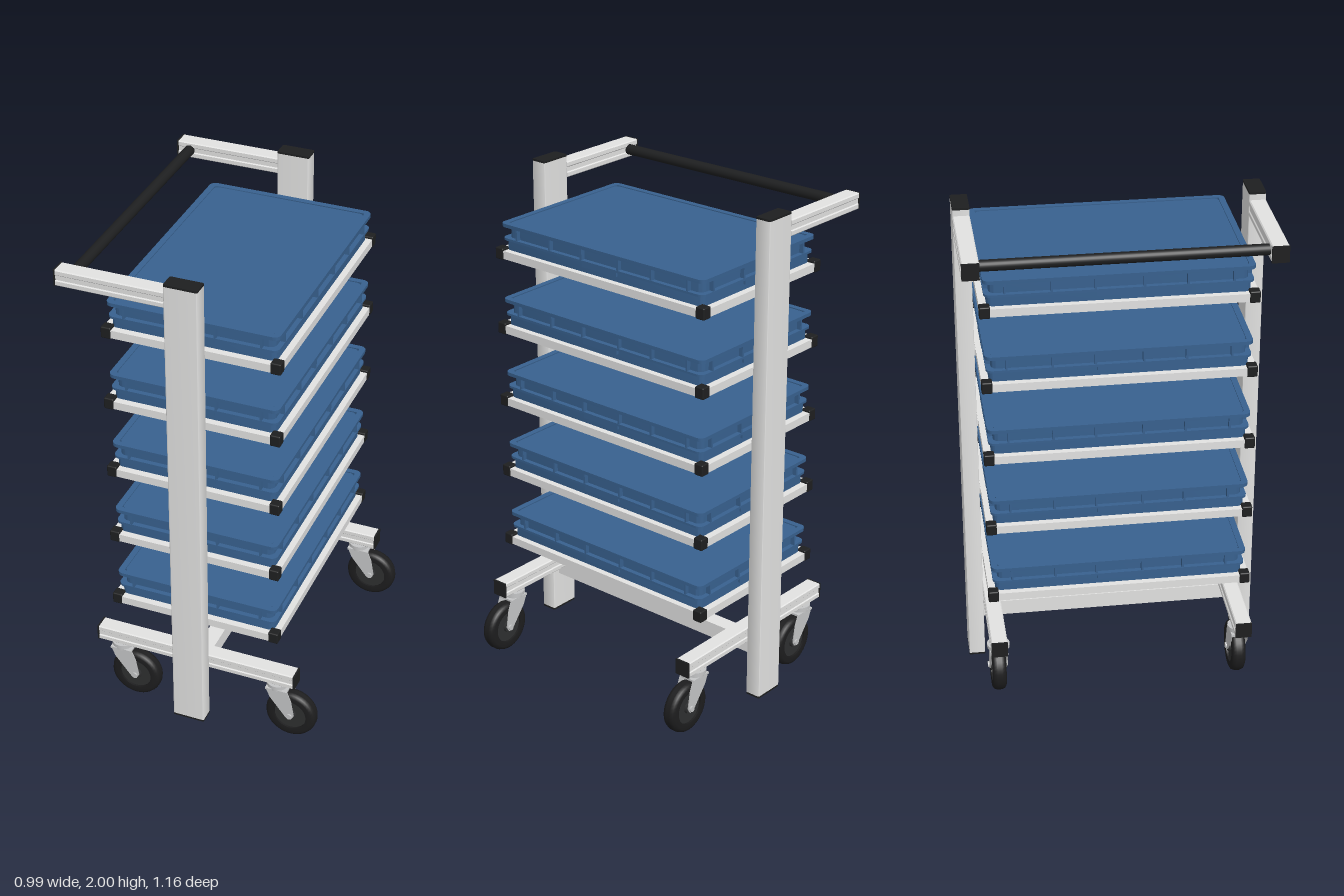
import * as THREE from 'three';
import { toCreasedNormals } from 'three/addons/utils/BufferGeometryUtils.js';
import { RoundedBoxGeometry } from 'three/addons/geometries/RoundedBoxGeometry.js';

const mat = (name, color) => Object.assign(new THREE.MeshStandardMaterial({ color }), { name });

export function createModel() {
  const silver = mat('aluminium', 0xe2e2e1);
  const steel = mat('caster steel', 0xc4c5c6);
  const black = mat('black plastic', 0x1e1f20);
  const rubber = mat('tyre rubber', 0x1d1d1e);
  const hubGrey = mat('hub grey', 0x2e2f30);
  const blue = mat('crate blue', 0x38618f);
  const model = new THREE.Group();
  model.name = 'trolley';

  const add = (parent, name, geo, material, x = 0, y = 0, z = 0) => {
    const m = new THREE.Mesh(geo, material);
    m.name = name;
    m.position.set(x, y, z);
    parent.add(m);
    return m;
  };
  const box = (parent, name, material, w, h, d, x, y, z) =>
    add(parent, name, new THREE.BoxGeometry(w, h, d), material, x, y, z);

  // Rounded rectangle outline, centred on the origin
  const outline = (w, h, r, Type = THREE.Shape) => {
    const s = new Type(), a = w / 2, b = h / 2;
    s.moveTo(-a + r, -b);
    s.lineTo(a - r, -b); s.absarc(a - r, -b + r, r, -Math.PI / 2, 0);
    s.lineTo(a, b - r); s.absarc(a - r, b - r, r, 0, Math.PI / 2);
    s.lineTo(-a + r, b); s.absarc(-a + r, b - r, r, Math.PI / 2, Math.PI);
    s.lineTo(-a, -b + r); s.absarc(-a + r, -b + r, r, Math.PI, Math.PI * 1.5);
    return s;
  };
  const extrude = (shape, depth) => toCreasedNormals(
    new THREE.ExtrudeGeometry(shape, { depth, bevelEnabled: false, curveSegments: 4 }), 0.7);
  // Upright prism from y = 0 to h, optionally hollow
  const slab = (w, d, r, h, wall = 0) => {
    const s = outline(w, d, r);
    if (wall) s.holes.push(outline(w - 2 * wall, d - 2 * wall, Math.max(r - wall, 0.004), THREE.Path));
    return extrude(s, h).rotateX(-Math.PI / 2);
  };
  // Profile running along x, with a shallow wide groove in both side faces
  const grooved = (len, w, h) => {
    const a = w / 2, b = h / 2, g = 0.013, k = 0.004, c = 0.004;
    const half = [[a - c, -b], [a, -b + c], [a, -g], [a - k, -g + k], [a - k, g - k], [a, g], [a, b - c], [a - c, b]];
    const pts = [...half, ...half.map(([x, y]) => [-x, -y])].map(p => new THREE.Vector2(...p));
    return extrude(new THREE.Shape(pts), len).translate(0, 0, -len / 2).rotateY(Math.PI / 2);
  };

  // Side frames: post, push arm and wheel beam
  for (const s of [1, -1]) {
    const frame = new THREE.Group();
    frame.name = s > 0 ? 'frontFrame' : 'backFrame';
    model.add(frame);
    add(frame, 'post', slab(0.13, 0.064, 0.005, 1.963), silver, -0.01, 0.029, s * 0.55);
    add(frame, 'postTopCap', slab(0.13, 0.064, 0.005, 0.008), black, -0.01, 1.992, s * 0.55);
    add(frame, 'postFootCap', slab(0.13, 0.064, 0.005, 0.008), black, -0.01, 0.021, s * 0.55);
    add(frame, 'pushArm', grooved(0.417, 0.064, 0.064), silver, -0.2835, 1.937, s * 0.55);
    box(frame, 'pushArmCap', black, 0.006, 0.064, 0.064, -0.495, 1.937, s * 0.55);
    add(frame, 'wheelBeam', grooved(0.828, 0.064, 0.064), silver, -0.009, 0.283, s * 0.484);
    for (const e of [1, -1])
      box(frame, 'wheelBeamCap', black, 0.007, 0.064, 0.064, -0.009 + e * 0.4175, 0.283, s * 0.484);
  }

  // Push handle and lower cross bar
  add(model, 'pushHandle', new THREE.CylinderGeometry(0.021, 0.021, 1.04, 24).rotateX(Math.PI / 2),
    black, -0.445, 1.937, 0);
  box(model, 'crossBar', silver, 0.064, 0.064, 1.04, -0.01, 0.218, 0);

  // Swivel casters, trailing towards +x
  const tyreProfile = [[0.066, -0.026], [0.088, -0.028], [0.099, -0.022], [0.104, -0.01],
    [0.104, 0.01], [0.099, 0.022], [0.088, 0.028], [0.066, 0.026], [0.066, -0.026]]
    .map(p => new THREE.Vector2(...p));
  const tyreGeo = toCreasedNormals(new THREE.LatheGeometry(tyreProfile, 40).rotateX(Math.PI / 2), 0.7);
  const forkShape = new THREE.Shape([[-0.04, 0], [0.05, 0], [0.066, -0.04], [0.079, -0.112],
    [0.068, -0.132], [0.046, -0.128], [-0.022, -0.042]].map(p => new THREE.Vector2(...p)));
  const disc = (r, h) => new THREE.CylinderGeometry(r, r, h, 24);
  for (const x of [-0.333, 0.332]) for (const z of [0.482, -0.482]) {
    const c = new THREE.Group();
    c.name = 'caster';
    c.position.set(x, 0, z);
    model.add(c);
    add(c, 'casterPlate', disc(0.045, 0.014), steel, 0, 0.244, 0);
    add(c, 'swivelHead', disc(0.037, 0.02), steel, 0, 0.231, 0);
    box(c, 'forkCrown', steel, 0.09, 0.008, 0.07, 0.003, 0.223, 0);
    for (const s of [1, -1]) {
      add(c, 'forkArm', extrude(forkShape, 0.004), steel, 0, 0.226, s * 0.032 - 0.002);
      add(c, 'axleNut', disc(0.012, 0.008).rotateX(Math.PI / 2), steel, 0.06, 0.109, s * 0.036);
    }
    add(c, 'tyre', tyreGeo, rubber, 0.06, 0.109, 0);
    add(c, 'wheelDisc', disc(0.067, 0.036).rotateX(Math.PI / 2), hubGrey, 0.06, 0.109, 0);
    add(c, 'wheelHub', disc(0.024, 0.06).rotateX(Math.PI / 2), hubGrey, 0.06, 0.109, 0);
  }

  // Five shelves, each carrying a shallow crate
  for (let i = 0; i < 5; i++) {
    const shelf = new THREE.Group();
    shelf.name = 'shelf' + (i + 1);
    shelf.position.set(-0.008, 0.464 + i * 0.306, 0);
    model.add(shelf);
    for (const s of [1, -1]) {
      box(shelf, 'longRail', silver, 0.034, 0.032, 0.96, s * 0.328, 0.016, 0);
      box(shelf, 'shortRail', silver, 0.62, 0.032, 0.034, 0, 0.016, s * 0.496);
      box(shelf, 'postBracket', silver, 0.09, 0.026, 0.012, 0, 0.016, s * 0.514);
      for (const t of [1, -1])
        add(shelf, 'cornerBlock', new RoundedBoxGeometry(0.04, 0.046, 0.04, 2, 0.005), black,
          s * 0.328, 0.018, t * 0.495);
    }
    box(shelf, 'shelfPanel', black, 0.625, 0.026, 0.96, 0, 0.015, 0);

    const crate = new THREE.Group();
    crate.name = 'crate';
    crate.position.y = 0.031;
    shelf.add(crate);
    add(crate, 'crateBase', slab(0.64, 0.97, 0.025, 0.042), blue);
    add(crate, 'crateBody', slab(0.622, 0.952, 0.025, 0.101), blue, 0, 0.002, 0);
    add(crate, 'crateLedge', slab(0.66, 0.99, 0.025, 0.009, 0.03), blue, 0, 0.04, 0);
    add(crate, 'crateRim', slab(0.668, 0.998, 0.025, 0.014, 0.024), blue, 0, 0.093, 0);
    // Ribs between ledge and rim, and a grip under the ledge
    for (const s of [1, -1]) {
      for (const z of [-0.42, -0.25, -0.09, 0.09, 0.25, 0.42])
        box(crate, 'crateRib', blue, 0.022, 0.052, 0.008, s * 0.318, 0.07, z);
      for (const x of [-0.265, -0.09, 0.09, 0.265])
        box(crate, 'crateRib', blue, 0.008, 0.052, 0.022, x, 0.07, s * 0.483);
      box(crate, 'crateGrip', blue, 0.014, 0.018, 0.17, s * 0.322, 0.032, 0);
      box(crate, 'crateGrip', blue, 0.17, 0.018, 0.014, 0, 0.032, s * 0.487);
    }
  }
  return model;
}
